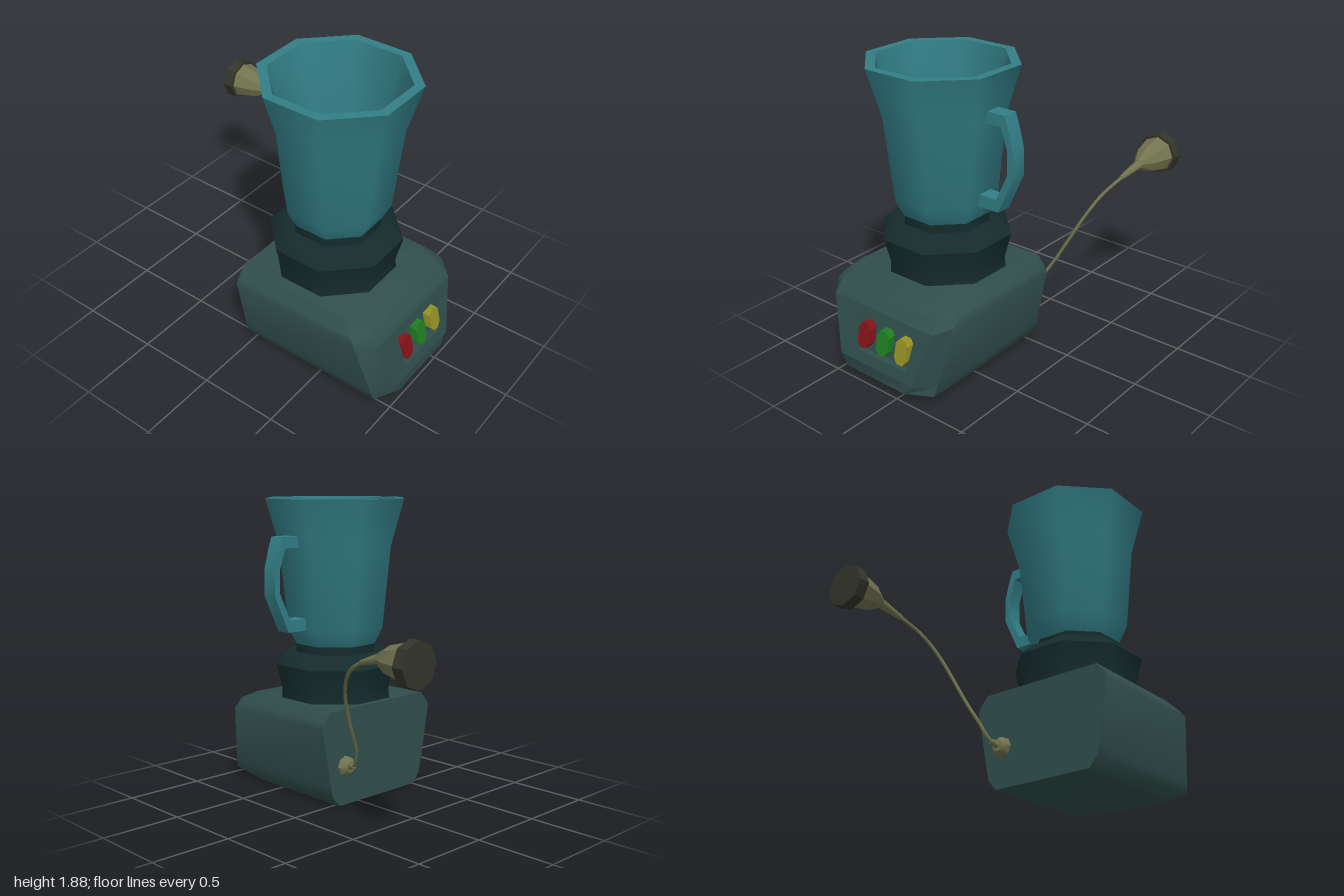
import * as THREE from 'three';
import { toCreasedNormals } from 'three/addons/utils/BufferGeometryUtils.js';

const CX = -0.17, CZ = 0.35; // jug axis
const TEAL = 0x327e86, BODY = 0x304e4c, DARK = 0x152b2b, OLIVE = 0x72744f, BLACK = 0x33352a;

function add(parent, name, geometry, color, crease = 0.6) {
  const material = new THREE.MeshStandardMaterial({ color, side: THREE.DoubleSide });
  const mesh = new THREE.Mesh(toCreasedNormals(geometry, crease), material);
  mesh.name = name;
  parent.add(mesh);
  return mesh;
}

// Skin through closed loops of equal length; skip(i, j) leaves a panel open
function loft(loops, startCap, endCap, skip = () => false) {
  const n = loops[0].length, index = [];
  for (let i = 0; i < loops.length - 1; i++) {
    for (let j = 0; j < n; j++) {
      if (skip(i, j)) continue;
      const a = i * n + j, b = i * n + (j + 1) % n;
      index.push(a, b, b + n, a, b + n, a + n);
    }
  }
  const last = (loops.length - 1) * n;
  for (let j = 1; j < n - 1; j++) {
    if (startCap) index.push(0, j + 1, j);
    if (endCap) index.push(last, last + j, last + j + 1);
  }
  const g = new THREE.BufferGeometry();
  g.setAttribute('position', new THREE.Float32BufferAttribute(loops.flat(2), 3));
  g.setIndex(index);
  return g;
}

// Eight-sided turned part; radii are given to the flats
function octagon(profile) {
  const k = 1 / Math.cos(Math.PI / 8);
  return new THREE.LatheGeometry(profile.map(([r, y]) => new THREE.Vector2(r * k, y)), 8, Math.PI / 8);
}

function moveVertices(g, rule) {
  const p = g.attributes.position, v = new THREE.Vector3();
  for (let i = 0; i < p.count; i++) {
    rule(v.fromBufferAttribute(p, i));
    p.setXYZ(i, v.x, v.y, v.z);
  }
  return g;
}

const shapeOf = (pts) => new THREE.Shape(pts.map(([x, y]) => new THREE.Vector2(x, y)));
const frontZ = (y) => 1 - (y - 0.13) * 0.232; // sloping front panel

function makeBase() {
  const base = new THREE.Group();
  base.name = 'base';
  // Each level: half width, side height, side end z, front half width, front height, front z
  const levels = [
    [0.335, 0, 0.72, 0.24, 0, 0.75],
    [0.39, 0.065, 0.92, 0.23, 0.06, 1.0],
    [0.405, 0.13, 0.905, 0.29, 0.13, 1.0],
    [0.475, 0.51, 0.82, 0.395, 0.475, 0.92],
    [0.46, 0.545, 0.78, 0.38, 0.55, 0.87],
    [0.405, 0.607, 0.7, 0.34, 0.607, 0.75],
  ];
  const back = -0.035;
  const loops = levels.map(([w, y, zs, f, yf, zf]) => [
    [CX - w, y, back], [CX - w, y, zs], [CX - f, yf, zf],
    [CX + f, yf, zf], [CX + w, y, zs], [CX + w, y, back],
  ]);
  add(base, 'housing', loft(loops, true, true, (i, j) => i === 2 && j === 2), BODY);

  // Front panel with a window for the buttons
  const window = [[-0.325, 0.2], [0.064, 0.2], [0.099, 0.41], [-0.353, 0.41]];
  const panel = shapeOf([[CX - 0.29, 0.13], [CX + 0.29, 0.13], [CX + 0.395, 0.475], [CX - 0.395, 0.475]]);
  panel.holes.push(shapeOf(window));
  add(base, 'frontPanel', moveVertices(new THREE.ShapeGeometry(panel), (v) => { v.z = frontZ(v.y); }), BODY);
  const rim = window.map(([x, y]) => [x, y, frontZ(y)]);
  const floor = window.map(([x, y]) => [x, y > 0.3 ? 0.393 : y, frontZ(y) - 0.04]);
  add(base, 'buttonRecess', loft([rim, floor], false, true), BODY);

  // Three buttons
  const w = 0.046, h = 0.075;
  const outline = shapeOf([
    [-w, -h + 0.03], [-w + 0.025, -h], [w - 0.025, -h], [w, -h + 0.03],
    [w, h - 0.03], [w - 0.025, h], [-w + 0.025, h], [-w, h - 0.03],
  ]);
  const colors = { redButton: 0x861318, greenButton: 0x1f7d22, yellowButton: 0x969124 };
  Object.entries(colors).forEach(([name, color], i) => {
    const g = new THREE.ExtrudeGeometry(outline, { depth: 0.05, bevelEnabled: false });
    moveVertices(g, (v) => {
      v.x += -0.285 + i * 0.15;
      v.y += 0.305;
      v.z += frontZ(v.y) - 0.042;
    });
    add(base, name, g, color);
  });
  return base;
}

function makeJug() {
  const jug = new THREE.Group();
  jug.name = 'jug';
  jug.position.set(CX, 0, CZ);
  add(jug, 'motorCollar', octagon([
    [0, 0.6], [0.345, 0.6], [0.34, 0.67], [0.375, 0.825], [0.3, 0.9], [0.25, 0.9], [0.25, 0.955], [0, 0.955],
  ]), DARK, 0.85);
  add(jug, 'container', octagon([
    [0, 0.952], [0.25, 0.952], [0.3, 1.06], [0.35, 1.58], [0.43, 1.875],
    [0.375, 1.875], [0.31, 1.58], [0.265, 1.07], [0, 1.07],
  ]), TEAL, 0.85);

  // Handle on the model's left
  const handle = shapeOf([
    [0.345, 1.65], [0.49, 1.65], [0.515, 1.58], [0.55, 1.45], [0.55, 1.29], [0.445, 1.06], [0.29, 1.06],
    [0.295, 1.135], [0.43, 1.135], [0.51, 1.305], [0.51, 1.45], [0.465, 1.58], [0.34, 1.58],
  ]);
  const grip = new THREE.ExtrudeGeometry(handle, { depth: 0.1, bevelEnabled: false });
  add(jug, 'handle', grip.translate(0, 0, -0.05), TEAL);

  // Four-armed blade, tips bent upwards
  const star = [];
  for (let i = 0; i < 4; i++) {
    const c = Math.round(Math.cos(i * Math.PI / 2)), s = Math.round(Math.sin(i * Math.PI / 2));
    for (const [r, t] of [[0.265, -0.024], [0.265, 0.024], [0.065, 0.065]]) {
      star.push([r * c - t * s, r * s + t * c]);
    }
  }
  const blade = new THREE.ExtrudeGeometry(shapeOf(star), { depth: 0.03, bevelEnabled: false });
  blade.rotateX(-Math.PI / 2);
  moveVertices(blade, (v) => { v.y += 1.09 + 0.25 * Math.hypot(v.x, v.z); });
  add(jug, 'blade', blade.translate(0, 0, -0.02), DARK);
  add(jug, 'bladeHub', new THREE.CylinderGeometry(0.05, 0.06, 0.06, 8).translate(0, 1.09, -0.02), DARK);
  return jug;
}

function makeCord() {
  const cord = new THREE.Group();
  cord.name = 'powerCord';
  // Turned part lying along -z
  const turned = (name, profile, x, y, z, color) => {
    const pts = profile.map(([r, d]) => new THREE.Vector2(r, d));
    const mesh = add(cord, name, new THREE.LatheGeometry(pts, 8), color);
    mesh.rotation.x = -Math.PI / 2;
    mesh.position.set(x, y, z);
  };
  turned('cordSocket', [[0, 0], [0.065, 0], [0.06, 0.025], [0.035, 0.05], [0, 0.05]], 0.115, 0.25, -0.034, OLIVE);

  const path = [
    [0.115, 0.25, -0.06], [0.13, 0.27, -0.125], [0.17, 0.38, -0.19], [0.235, 0.5, -0.225], [0.31, 0.65, -0.26],
    [0.38, 0.8, -0.31], [0.44, 0.93, -0.4], [0.49, 1.02, -0.55], [0.513, 1.067, -0.71],
  ].map((p) => new THREE.Vector3(...p));
  const curve = new THREE.CatmullRomCurve3(path);
  add(cord, 'cable', new THREE.TubeGeometry(curve, 32, 0.011, 6), OLIVE, 1.2);

  // Tapered sleeves where the cable meets its ends
  const sleeve = (name, a, b, ra, rb) => {
    const dir = b.clone().sub(a);
    const mesh = add(cord, name, new THREE.CylinderGeometry(rb, ra, dir.length(), 8), OLIVE, 0.9);
    mesh.position.copy(a).addScaledVector(dir, 0.5);
    mesh.quaternion.setFromUnitVectors(new THREE.Vector3(0, 1, 0), dir.normalize());
  };
  sleeve('socketSleeve', path[0], path[1], 0.024, 0.016);
  sleeve('plugSleeve', path[7], path[8], 0.015, 0.03);

  turned('plug', [[0, 0], [0.028, 0], [0.08, 0.085], [0.115, 0.225], [0, 0.225]], 0.513, 1.07, -0.705, OLIVE);
  turned('plugCap', [[0, 0], [0.133, 0], [0.133, 0.07], [0, 0.07]], 0.513, 1.07, -0.93, BLACK);
  return cord;
}

export function createModel() {
  const model = new THREE.Group();
  model.name = 'blender';
  model.add(makeBase(), makeJug(), makeCord());
  return model;
}
